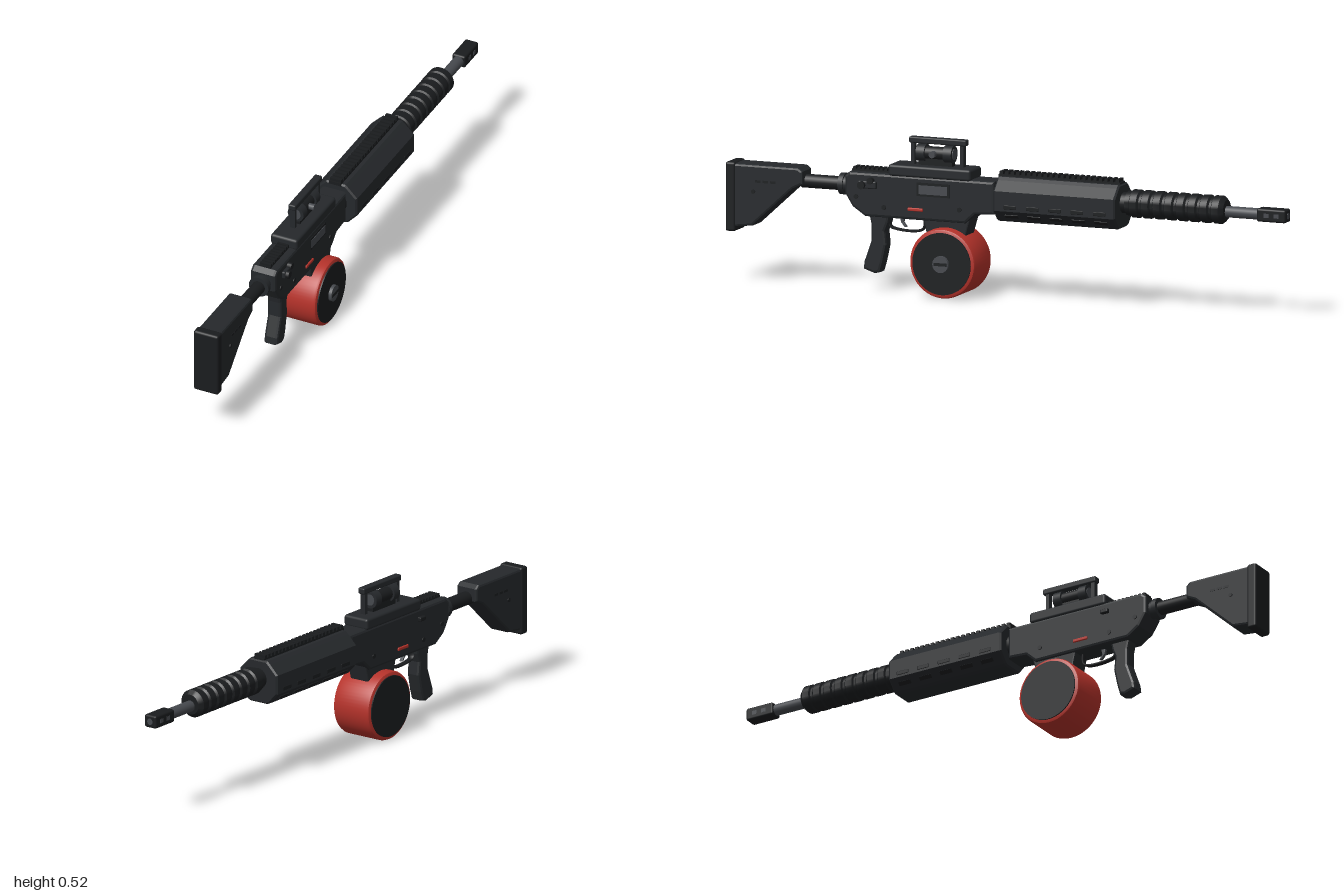
import * as THREE from 'three';
import { toCreasedNormals } from 'three/addons/utils/BufferGeometryUtils.js';
import { RoundedBoxGeometry } from 'three/addons/geometries/RoundedBoxGeometry.js';

const paint = (color) => new THREE.MeshStandardMaterial({ color });
const body = paint(0x25282b), dark = paint(0x1a1c1e), steel = paint(0x46494e), red = paint(0xb5322a);

export function createModel() {
  const model = new THREE.Group();
  const root = new THREE.Group();
  root.name = 'rifle';
  root.position.x = -0.0075;
  model.add(root);

  const add = (name, geometry, material, x = 0, y = 0, z = 0) => {
    const mesh = new THREE.Mesh(geometry, material);
    mesh.name = name;
    mesh.position.set(x, y, z);
    root.add(mesh);
    return mesh;
  };
  // Box given by its ranges along y and z, centred at x
  const box = (name, mat, x, w, y0, y1, z0, z1, r = 0) => add(name,
    r ? new RoundedBoxGeometry(w, y1 - y0, z1 - z0, 2, r) : new THREE.BoxGeometry(w, y1 - y0, z1 - z0),
    mat, x, (y0 + y1) / 2, (z0 + z1) / 2);
  // Side profile of [z, y] points given a width along x
  const slab = (name, mat, pts, w, bevel = 0.008) => {
    const shape = new THREE.Shape(pts.map(([z, y]) => new THREE.Vector2(z, y)));
    const g = new THREE.ExtrudeGeometry(shape, {
      depth: w - 2 * bevel, bevelSize: bevel, bevelThickness: bevel, bevelOffset: -bevel, bevelSegments: 2,
    });
    g.translate(0, 0, bevel - w / 2).rotateY(-Math.PI / 2);
    return add(name, g, mat);
  };
  // Round part along the barrel line
  const rod = (name, mat, y, r, z0, z1, sides = 24) => add(name,
    new THREE.CylinderGeometry(r, r, z1 - z0, sides).rotateX(Math.PI / 2), mat, 0, y, (z0 + z1) / 2);
  // Round part along x
  const disc = (name, mat, r, x0, x1, y, z, sides = 32) => add(name,
    new THREE.CylinderGeometry(r, r, x1 - x0, sides).rotateZ(Math.PI / 2), mat, (x0 + x1) / 2, y, z);
  // Row of teeth across the top of a rail
  const teeth = (name, w, y0, y1, z0, z1, n) => {
    const step = (z1 - z0) / n;
    for (let i = 0; i < n; i++) box(name, dark, 0, w, y0, y1, z0 + step * (i + 0.2), z0 + step * (i + 0.8));
  };

  // Stock with butt pad
  slab('stock', body, [[0.725, 0.345], [0.725, 0.388], [0.74, 0.4], [0.975, 0.4], [0.975, 0.187],
    [0.905, 0.195], [0.76, 0.328]], 0.083, 0.008);
  box('buttPad', dark, 0, 0.091, 0.172, 0.404, 0.965, 1.0, 0.008);
  for (const s of [-1, 1]) {
    for (let i = 0; i < 3; i++) box('stockSlot', dark, s * 0.041, 0.004, 0.341, 0.349, 0.82 + i * 0.027, 0.84 + i * 0.027);
    disc('stockPin', dark, 0.007, s * 0.042 - 0.003, s * 0.042 + 0.003, 0.31, 0.9, 12);
  }

  // Stock tube and lock rings
  rod('stockTube', dark, 0.352, 0.023, 0.55, 0.74);
  rod('lockRing', body, 0.352, 0.036, 0.585, 0.602);
  rod('lockCollar', body, 0.352, 0.03, 0.565, 0.588);

  // Receiver
  slab('receiver', body, [[0.572, 0.328], [0.572, 0.388], [0.555, 0.402], [0.035, 0.402], [0.035, 0.292],
    [0.105, 0.287], [0.14, 0.255], [0.5, 0.255], [0.545, 0.285]], 0.092, 0.009);
  slab('magazineWell', body, [[0.295, 0.27], [0.125, 0.27], [0.145, 0.2], [0.28, 0.2]], 0.075, 0.005);
  box('rearRail', dark, 0, 0.04, 0.395, 0.408, 0.4, 0.555);
  teeth('rearRailTooth', 0.04, 0.406, 0.415, 0.41, 0.555, 9);

  // Receiver details
  box('ejectionFrame', dark, 0.046, 0.005, 0.337, 0.382, 0.195, 0.312);
  box('ejectionCover', steel, 0.047, 0.007, 0.344, 0.374, 0.203, 0.304);
  for (const s of [-1, 1]) {
    box('fireSelector', red, s * 0.047, 0.008, 0.285, 0.296, 0.29, 0.345, 0.003);
    for (const [z, y] of [[0.43, 0.29], [0.16, 0.3], [0.53, 0.32]])
      disc('receiverPin', dark, 0.008, s * 0.046 - 0.003, s * 0.046 + 0.003, y, z, 12);
  }
  disc('assistButton', dark, 0.013, 0.04, 0.068, 0.362, 0.505, 14);
  box('assistHousing', body, 0.048, 0.018, 0.35, 0.376, 0.455, 0.52, 0.005);
  disc('assistCap', dark, 0.011, 0.04, 0.062, 0.377, 0.475, 14);
  box('chargingLatch', dark, -0.05, 0.016, 0.36, 0.375, 0.4, 0.43, 0.004);

  // Pistol grip, trigger and guard
  slab('pistolGrip', body, [[0.495, 0.265], [0.42, 0.265], [0.425, 0.235], [0.437, 0.205], [0.432, 0.16],
    [0.445, 0.1], [0.455, 0.067], [0.475, 0.062], [0.515, 0.075], [0.512, 0.1], [0.487, 0.17], [0.487, 0.225]], 0.05, 0.009);
  const guard = new THREE.CatmullRomCurve3([[0.262, 0.43], [0.222, 0.425], [0.213, 0.4], [0.211, 0.33],
    [0.222, 0.305], [0.262, 0.302]].map(([y, z]) => new THREE.Vector3(0, y, z)));
  const guardGeometry = new THREE.TubeGeometry(guard, 32, 0.0045, 8);
  guardGeometry.scale(2.4, 1, 1);
  add('triggerGuard', guardGeometry, dark);
  slab('trigger', steel, [[0.39, 0.26], [0.372, 0.26], [0.377, 0.238], [0.366, 0.222], [0.374, 0.222], [0.387, 0.238]], 0.012, 0.002);

  // Drum magazine: rounded red shell with dark end plates
  const drumProfile = [[0, -0.074], [0.108, -0.074], [0.114, -0.071], [0.117, -0.064],
    [0.117, 0.064], [0.114, 0.071], [0.108, 0.074], [0, 0.074]].map(([r, h]) => new THREE.Vector2(r, h));
  add('drumShell', toCreasedNormals(new THREE.LatheGeometry(drumProfile, 64).rotateZ(-Math.PI / 2), 0.7), red, 0, 0.12, 0.211);
  for (const s of [-1, 1]) disc('drumPlate', dark, 0.104, s * 0.069 - 0.009, s * 0.069 + 0.009, 0.12, 0.211, 64);
  disc('drumKnob', steel, 0.028, 0.07, 0.089, 0.12, 0.211);
  box('drumKnobBar', dark, 0.089, 0.004, 0.115, 0.125, 0.188, 0.234);

  // Sight: base, tube, posts and carrying bar
  box('sightBase', body, 0, 0.098, 0.397, 0.436, 0.12, 0.415, 0.009);
  box('sightMount', dark, 0, 0.026, 0.43, 0.46, 0.2, 0.32);
  rod('sightTube', dark, 0.476, 0.022, 0.205, 0.32);
  for (const z of [0.198, 0.295]) rod('sightRing', body, 0.476, 0.029, z, z + 0.03, 28);
  for (const z of [0.2, 0.322]) rod('sightLens', steel, 0.476, 0.019, z - 0.004, z + 0.005);
  disc('sightKnob', steel, 0.011, 0.01, 0.04, 0.476, 0.262, 16);
  for (const z of [0.16, 0.336]) box('sightPost', body, 0, 0.018, 0.43, 0.515, z, z + 0.013);
  box('sightBar', body, 0, 0.027, 0.507, 0.528, 0.15, 0.355, 0.005);

  // Octagonal handguard
  const half = [[0.035, 0.272], [0.046, 0.277], [0.078, 0.312], [0.078, 0.378], [0.046, 0.41], [0.035, 0.42]];
  const outline = [...half, ...half.map(([x, y]) => [-x, y]).reverse()];
  const octagon = new THREE.Shape(outline.map(([x, y]) => new THREE.Vector2(x, y)));
  add('handguard', new THREE.ExtrudeGeometry(octagon, {
    depth: 0.425, bevelSize: 0.005, bevelThickness: 0.006, bevelOffset: -0.005, bevelSegments: 1,
  }), body, 0, 0, -0.404);
  rod('handguardCollar', dark, 0.35, 0.042, 0.02, 0.05);
  box('topRail', dark, 0, 0.042, 0.415, 0.426, -0.405, 0.03);
  teeth('topRailTooth', 0.042, 0.424, 0.436, -0.405, 0.03, 22);
  // Vent slots on both sides and along the lower slanted faces
  for (const s of [-1, 1]) for (let i = 0; i < 5; i++) {
    const z = -0.035 - i * 0.08;
    add('ventSlot', new RoundedBoxGeometry(0.006, 0.014, 0.046, 1, 0.0025), dark, s * 0.0765, 0.326, z);
    const low = add('lowerVentSlot', new THREE.BoxGeometry(0.005, 0.014, 0.046), dark, s * 0.062, 0.2945, z);
    low.rotation.z = -s * 0.74;
  }

  // Ribbed barrel shroud
  const ribs = [[0, -0.78], [0.034, -0.78], [0.042, -0.772]];
  for (let i = 0; i < 8; i++) {
    const z = -0.77 + i * 0.042;
    ribs.push([0.047, z + 0.004], [0.047, z + 0.028], [0.041, z + 0.032], [0.041, z + 0.04]);
  }
  ribs.push([0.041, -0.428], [0, -0.428]);
  add('barrelShroud', toCreasedNormals(new THREE.LatheGeometry(
    ribs.map(([r, z]) => new THREE.Vector2(r, z)), 32).rotateX(Math.PI / 2), 0.5), dark, 0, 0.357, 0);
  rod('shroudNeck', dark, 0.357, 0.035, -0.45, -0.4);

  // Barrel and muzzle brake
  rod('barrel', steel, 0.352, 0.019, -0.91, -0.77);
  box('muzzleBrake', dark, 0, 0.048, 0.33, 0.374, -0.999, -0.895, 0.007);
  for (const s of [-1, 1]) for (const z of [-0.975, -0.94])
    box('muzzlePort', steel, s * 0.0235, 0.002, 0.345, 0.359, z, z + 0.018);
  rod('muzzleBore', steel, 0.352, 0.011, -1.0, -0.99, 16);

  return model;
}
